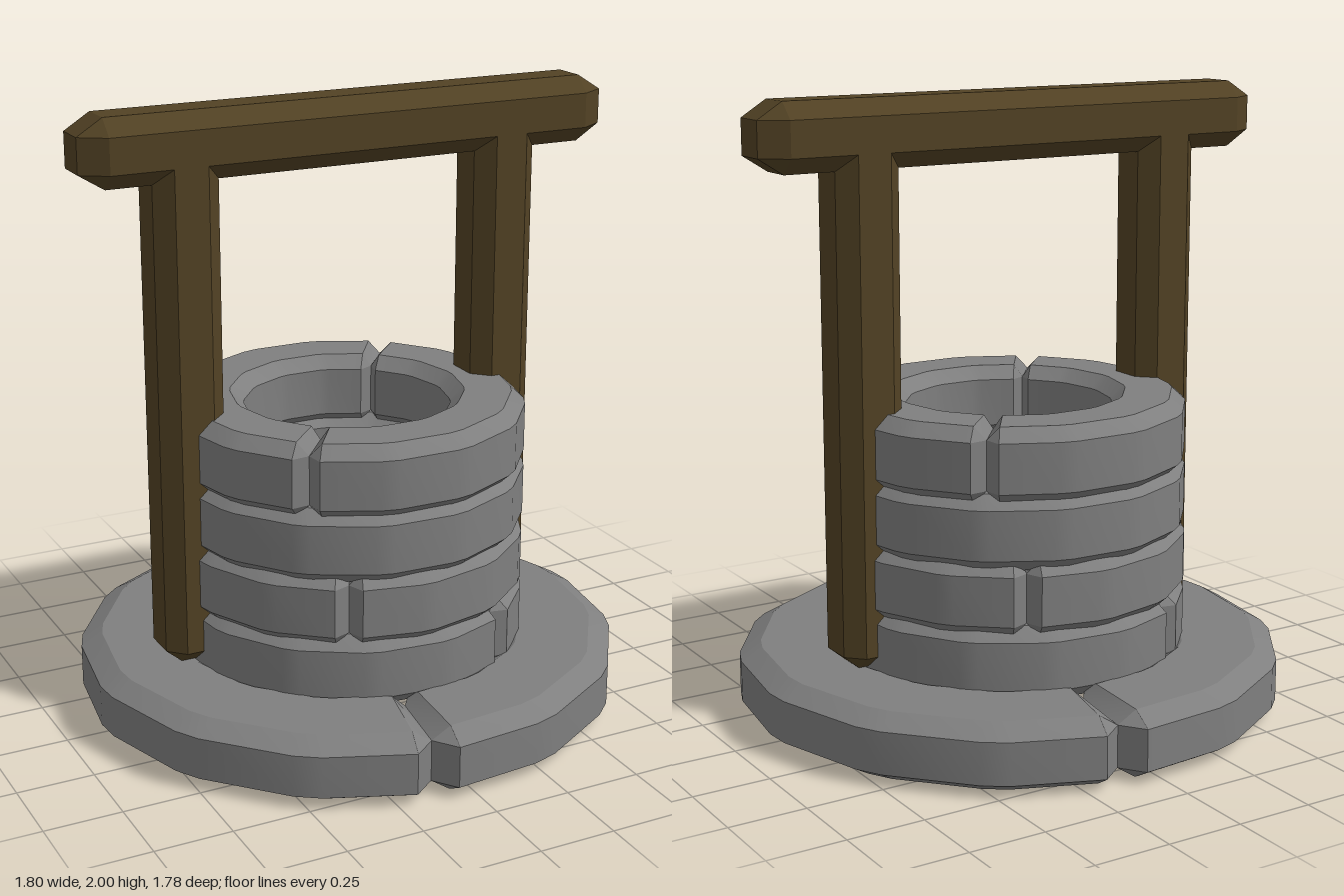
import * as THREE from 'three';
import { toCreasedNormals } from 'three/addons/utils/BufferGeometryUtils.js';
import { ConvexGeometry } from 'three/addons/geometries/ConvexGeometry.js';

const stone = new THREE.MeshStandardMaterial({ color: 0x7f7f7f });
const wood = new THREE.MeshStandardMaterial({ color: 0x524224 });

// Timber with every edge chamfered; half sizes h and chamfer depths c per axis
function chamferedBox(h, c) {
  const points = [];
  for (const sx of [-1, 1]) for (const sy of [-1, 1]) for (const sz of [-1, 1]) {
    const s = [sx, sy, sz];
    for (let axis = 0; axis < 3; axis++) {
      const p = h.map((v, i) => s[i] * (i === axis ? v : v - c[i]));
      points.push(new THREE.Vector3(...p));
    }
  }
  return new ConvexGeometry(points);
}

// Half of a stone ring: a chamfered section swept through 180 degrees, with chamfered ends
function halfRing(inner, outer, halfHeight, cr, cy, start) {
  const y = halfHeight - cy;
  const section = [
    [outer, -y], [outer, y], [outer - cr, halfHeight], [inner + cr, halfHeight],
    [inner, y], [inner, -y], [inner + cr, -halfHeight], [outer - cr, -halfHeight],
  ];
  const endSection = section.map(([r, v]) => [
    THREE.MathUtils.clamp(r, inner + cr, outer - cr), THREE.MathUtils.clamp(v, -y, y),
  ]);

  // Seven long facets with a narrow one at each corner between them
  const facets = 7, bevel = 0.075, corner = 0.05;
  const angles = [0, bevel];
  for (let i = 1; i < facets; i++) {
    const a = Math.PI * i / facets;
    angles.push(a - corner, a + corner);
  }
  angles.push(Math.PI - bevel, Math.PI);
  const last = angles.length - 1;
  const loops = angles.map((a, i) => (i === 0 || i === last ? endSection : section).map(([r, v]) =>
    new THREE.Vector3(r * Math.cos(a + start), v, r * Math.sin(a + start))));

  const positions = [];
  const triangle = (a, b, c) => {
    if (new THREE.Triangle(a, b, c).getArea() < 1e-7) return;
    for (const p of [a, b, c]) positions.push(p.x, p.y, p.z);
  };
  for (let i = 0; i < last; i++) {
    for (let k = 0; k < 8; k++) {
      const n = (k + 1) % 8;
      triangle(loops[i][k], loops[i][n], loops[i + 1][n]);
      triangle(loops[i][k], loops[i + 1][n], loops[i + 1][k]);
    }
  }
  // End faces
  for (let k = 1; k < 7; k++) {
    triangle(loops[0][0], loops[0][k + 1], loops[0][k]);
    triangle(loops[last][0], loops[last][k], loops[last][k + 1]);
  }
  const geometry = new THREE.BufferGeometry();
  geometry.setAttribute('position', new THREE.Float32BufferAttribute(positions, 3));
  return toCreasedNormals(geometry, 0.42);
}

function stoneRing(name, y, seamDegrees, ...size) {
  const ring = new THREE.Group();
  ring.name = name;
  ring.position.y = y;
  for (const [half, turn] of [['HalfA', 0], ['HalfB', 180]]) {
    const mesh = new THREE.Mesh(
      halfRing(...size, THREE.MathUtils.degToRad(seamDegrees + turn)), stone);
    mesh.name = name + half;
    ring.add(mesh);
  }
  return ring;
}

export function createModel() {
  const well = new THREE.Group();
  well.name = 'well';

  // Wide base ring
  well.add(stoneRing('baseRing', 0.108, 98.5, 0.51, 0.89, 0.108, 0.07, 0.04));

  // Stacked wall rings, each with its seam turned
  [57, 116, 2, 129].forEach((seam, i) => {
    well.add(stoneRing('wallRing' + (i + 1), 0.288 + i * 0.209, seam,
      0.335, 0.577, 0.121, 0.045, 0.042));
  });

  // Posts
  for (const [name, x] of [['rightPost', -0.562], ['leftPost', 0.542]]) {
    const post = new THREE.Mesh(
      chamferedBox([0.108, 0.84, 0.108], [0.053, 0.045, 0.053]), wood);
    post.name = name;
    post.position.set(x, 1.055, -0.012);
    well.add(post);
  }

  // Crossbeam
  const beam = new THREE.Mesh(
    chamferedBox([0.9, 0.108, 0.108], [0.083, 0.052, 0.053]), wood);
  beam.name = 'crossbeam';
  beam.position.set(0, 1.892, -0.012);
  well.add(beam);

  return well;
}
